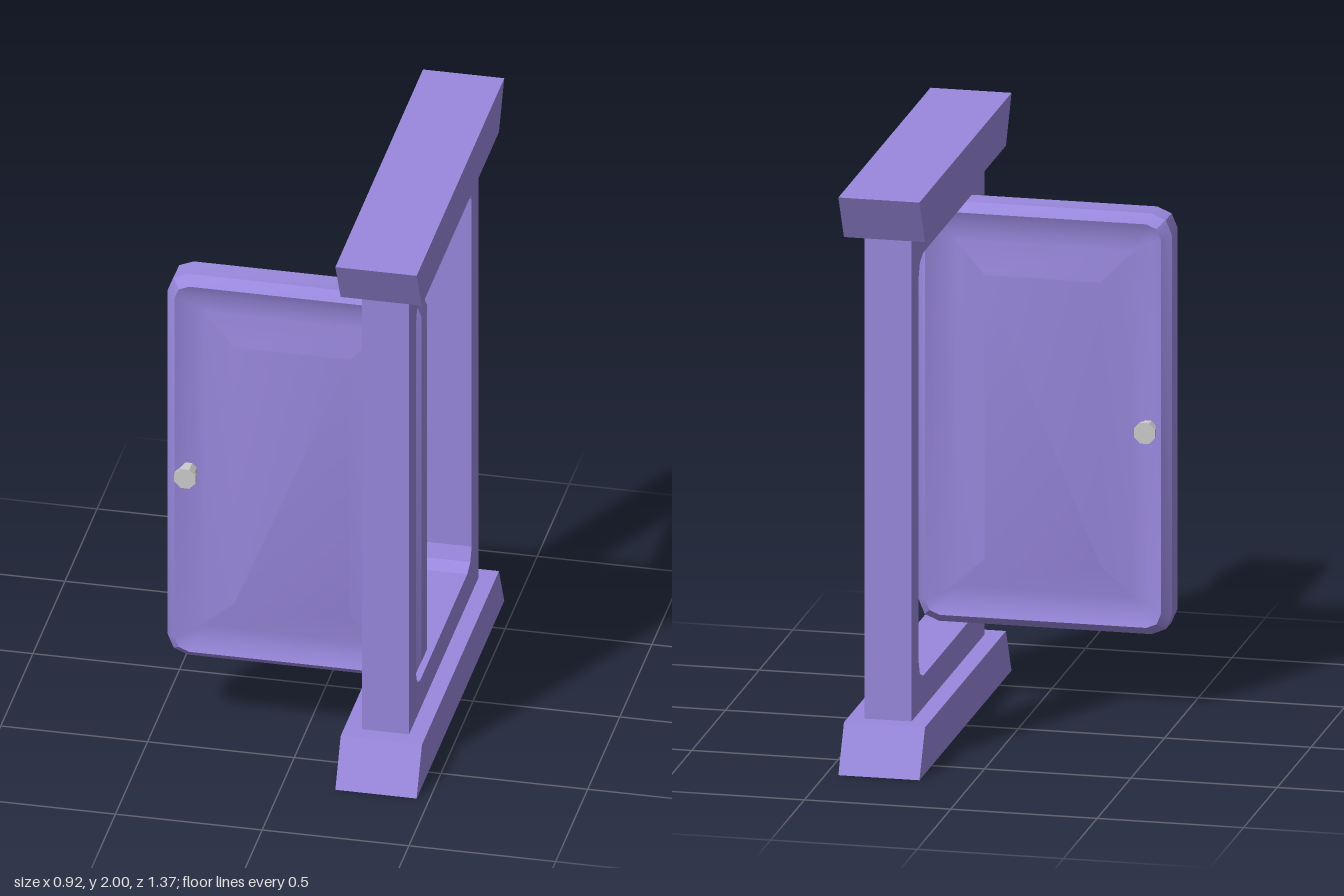
import * as THREE from 'three';
import { toCreasedNormals } from 'three/addons/utils/BufferGeometryUtils.js';

// Outline of a rectangle with two-segment rounded corners, counter-clockwise
function roundedRect(w, h, r) {
  const pts = [];
  [[1, 1], [-1, 1], [-1, -1], [1, -1]].forEach(([sx, sy], q) => {
    for (let i = 0; i <= 2; i++) {
      const a = (q + i / 2) * Math.PI / 2;
      pts.push(new THREE.Vector2(sx * (w / 2 - r) + r * Math.cos(a), sy * (h / 2 - r) + r * Math.sin(a)));
    }
  });
  return pts;
}

// Extrude a z/y profile along x
function extrudeX(shape, x0, x1) {
  const g = new THREE.ExtrudeGeometry(shape, { depth: x1 - x0, bevelEnabled: false });
  return g.rotateY(Math.PI / 2).translate(x0, 0, 0);
}

// Door leaf: nested rounded rectangles lofted from the back panel to the front panel
function doorGeometry(w, h) {
  const half = [ // inset, half depth, corner radius
    [0, 0.043, 0.07], [0.03, 0.076, 0.05], [0.07, 0.06, 0.025],
    [0.13, 0.058, 0.012], [0.235, 0.086, 0.006],
  ];
  const rings = [
    ...half.slice().reverse().map(([i, d, r]) => [i, -d, r]),
    ...half,
  ];
  const pos = [], idx = [];
  let n = 0;
  for (const [inset, z, r] of rings) {
    const outline = roundedRect(w - 2 * inset, h - 2 * inset, r);
    n = outline.length;
    outline.forEach(p => pos.push(p.x, p.y, z));
  }
  for (let k = 0; k < rings.length - 1; k++) {
    for (let i = 0; i < n; i++) {
      const a = k * n + i, b = k * n + (i + 1) % n;
      idx.push(a, b, b + n, a, b + n, a + n);
    }
  }
  // flat panel centres
  const last = (rings.length - 1) * n;
  for (let i = 1; i < n - 1; i++) {
    idx.push(0, i + 1, i, last, last + i, last + i + 1);
  }
  const g = new THREE.BufferGeometry();
  g.setAttribute('position', new THREE.Float32BufferAttribute(pos, 3));
  g.setIndex(idx);
  return toCreasedNormals(g, 0.55);
}

export function createModel() {
  const model = new THREE.Group();
  const paint = new THREE.MeshStandardMaterial({ color: 0x9988dd });
  const metal = new THREE.MeshStandardMaterial({ color: 0xcccccc, flatShading: true });
  const add = (name, geometry, material, parent = model) => {
    const mesh = new THREE.Mesh(geometry, material);
    mesh.name = name;
    parent.add(mesh);
    return mesh;
  };

  // Door frame with a rounded opening
  const frame = new THREE.Shape([[-0.54, 0.16], [0.54, 0.16], [0.54, 1.84], [-0.54, 1.84]]
    .map(p => new THREE.Vector2(...p)));
  frame.holes.push(new THREE.Path(roundedRect(0.87, 1.465, 0.068)
    .map(p => p.add(new THREE.Vector2(0, 1.0025))).reverse()));
  add('doorFrame', extrudeX(frame, 0.24, 0.4), paint);

  // Flared beams: wide at the ground and at the top
  const beam = (y0, z0, y1, z1) => extrudeX(new THREE.Shape(
    [[-z0, y0], [z0, y0], [z1, y1], [-z1, y1]].map(p => new THREE.Vector2(...p))), 0.18, 0.457);
  add('sill', beam(0, 0.683, 0.16, 0.6), paint);
  add('lintel', beam(1.84, 0.6, 2, 0.683), paint);

  // Open door
  const door = new THREE.Group();
  door.name = 'door';
  door.position.set(-0.0275, 1.0025, 0.325);
  model.add(door);
  add('doorLeaf', doorGeometry(0.865, 1.457), paint, door);

  // Knobs on both faces
  for (const side of [1, -1]) {
    const knob = new THREE.Group();
    knob.name = side > 0 ? 'frontKnob' : 'backKnob';
    knob.position.set(-0.357, -0.012, 0);
    door.add(knob);
    for (const [name, r, z0, z1] of [['knobStem', 0.03, 0.05, 0.104], ['knobCap', 0.039, 0.104, 0.122]]) {
      const g = new THREE.CylinderGeometry(r, r, z1 - z0, 8).rotateY(Math.PI / 8).rotateX(Math.PI / 2);
      add(name, g, metal, knob).position.z = side * (z0 + z1) / 2;
    }
  }
  return model;
}
